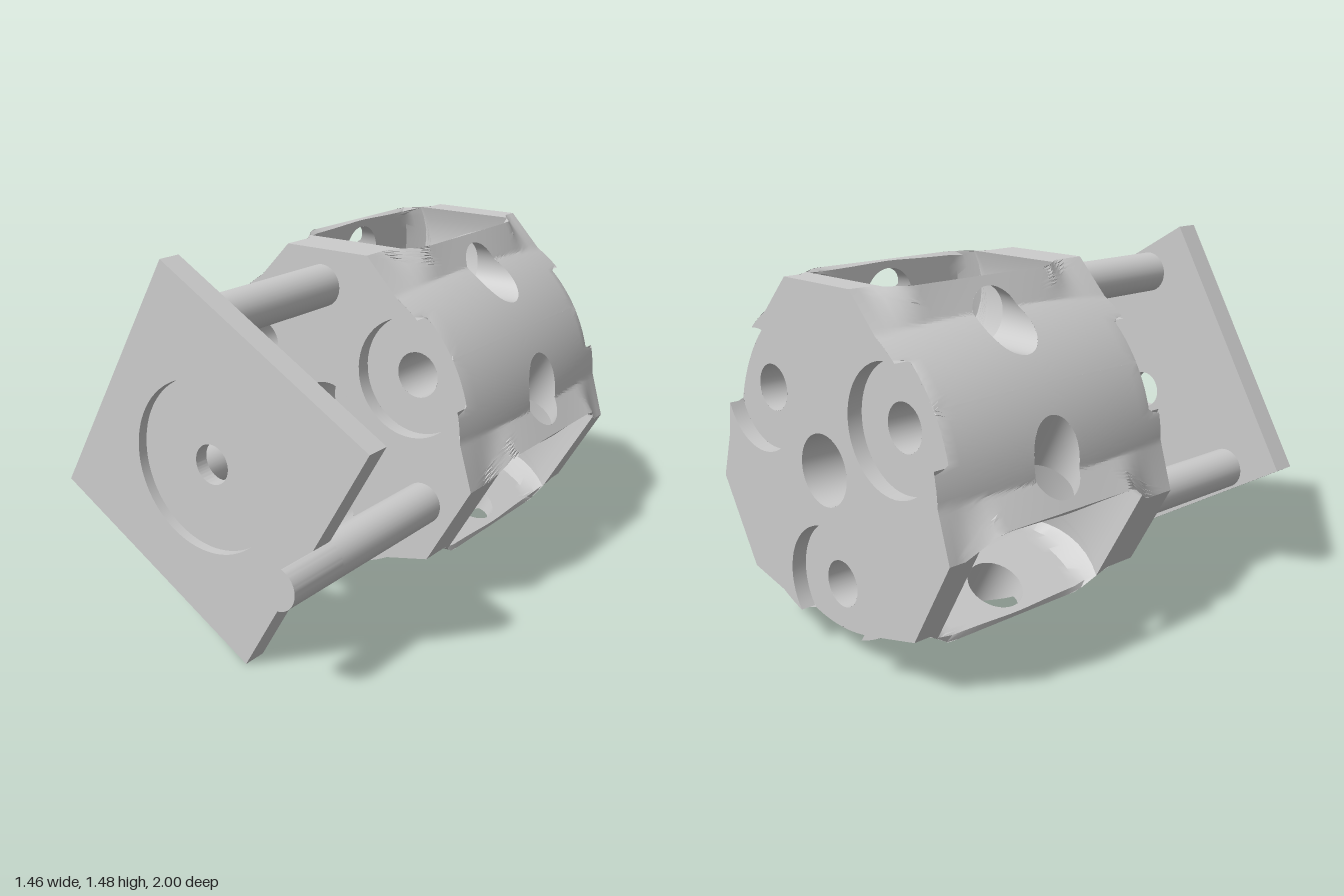
import * as THREE from 'three';
import { toCreasedNormals } from 'three/addons/utils/BufferGeometryUtils.js';

const TAU = Math.PI * 2;
const CY = 0.745;             // height of the main axis
const ZC = -0.48;             // middle of the wheel pockets along z
const BACK = -1, FRONT = 0.11;
const D = 0.53;               // distance of rods and axles from the axis
const POCKET_R = 0.43, AXLE_R = 0.11, ROD_R = 0.083, CORE_R = 0.135;
const BORE_D = 0.45, BORE_R = 0.09, NOTCH_R = 0.235;
const LID = 0.672;            // height of the flat rim round each pocket
const END_R = 0.655 * 0.95;   // lobe radius at both ends
// Angle where a counterbore breaks through the edge
const NOTCH_A = Math.acos((END_R ** 2 - BORE_D ** 2 - NOTCH_R ** 2) / (2 * BORE_D * NOTCH_R));
const NX = BORE_D * Math.cos(Math.PI / 6), NY = BORE_D * Math.sin(Math.PI / 6);

const mat = new THREE.MeshStandardMaterial({ color: 0xcccccc, side: THREE.DoubleSide });

function mesh(name, geo, parent) {
  const m = new THREE.Mesh(geo, mat);
  m.name = name;
  parent.add(m);
  return m;
}

// Grid surface: fn(u, v) returns [x, y, z]; keep() can drop triangles
function surface(nu, nv, fn, keep) {
  const pos = [], idx = [];
  for (let j = 0; j <= nv; j++)
    for (let i = 0; i <= nu; i++) pos.push(...fn(i / nu, j / nv));
  const mid = (t, k) => (pos[t[0] * 3 + k] + pos[t[1] * 3 + k] + pos[t[2] * 3 + k]) / 3;
  for (let j = 0; j < nv; j++)
    for (let i = 0; i < nu; i++) {
      const a = j * (nu + 1) + i, b = a + 1, c = a + nu + 1, d = c + 1;
      for (const t of [[a, b, d], [a, d, c]])
        if (!keep || keep(mid(t, 0), mid(t, 1), mid(t, 2))) idx.push(...t);
    }
  const g = new THREE.BufferGeometry();
  g.setAttribute('position', new THREE.Float32BufferAttribute(pos, 3));
  g.setIndex(idx);
  return toCreasedNormals(g, 0.5);
}

const mix = (a, b, t) => a + (b - a) * t;

// Point on the outline of the square from -1 to 1, t from 0 to 1
function square(t) {
  const s = Math.min(3, Math.floor(t * 4)), f = (t * 4 - s) * 2 - 1;
  return [[1, f], [-f, 1], [-1, -f], [f, -1]][s];
}

// Barrel taper, half width of the eight-sided rim, and half width of a pocket
const taper = z => 1 - 0.05 * ((z + 0.445) / 0.555) ** 2;
const rim = z => mix(0.28, 0.19, Math.max(0, Math.min(1, (Math.abs(z - ZC) - 0.33) / 0.12)));
const halfWidth = (d, z) => Math.min(0.26, 0.17 + 0.28 * d, rim(z));
const floorAt = z => D - Math.sqrt(Math.max(0, POCKET_R ** 2 - (z - ZC) ** 2));

// Outer profile of half a lobe: round, then rising to the rim
function section(y, z) {
  const s = taper(z);
  if (y < 0.56) return [Math.sqrt(0.429 - y * y) * s, y * s];
  const t = (y - 0.56) / 0.115;
  return [mix(0.34 * s, rim(z), t), mix(0.56 * s, LID, t)];
}

function skin(y, z) {
  const [x, yy] = section(y, z);
  if (Math.hypot(x - NX, yy - NY) < NOTCH_R + 0.002) z = Math.max(BACK + 0.06, Math.min(FRONT - 0.06, z));
  return [x, yy, z];
}

// Edge of a counterbore, u from 0 to 1
function notch(u) {
  const a = Math.PI / 6 + mix(NOTCH_A, TAU - NOTCH_A, u);
  return [NX + NOTCH_R * Math.cos(a), NY + NOTCH_R * Math.sin(a)];
}

function halfLobe() {
  const g = new THREE.Group();
  g.name = 'halfLobe';
  mesh('lobeSkin', surface(144, 12, (u, v) => {
    const [p, q] = square(u);
    const y = mix(0.3275, 0.675, (p + 1) / 2), z = mix(BACK, FRONT, (q + 1) / 2);
    const a = Math.atan2(z - ZC, y - D);
    return skin(mix(D + AXLE_R * Math.cos(a), y, v), mix(ZC + AXLE_R * Math.sin(a), z, v));
  }), g);
  mesh('pocketWall', surface(96, 8, (u, v) => {
    const a = u * TAU, c = Math.cos(a), s = Math.sin(a);
    const limit = s > 0 ? (LID - D) / s : 9;
    const r = mix(AXLE_R, Math.min(POCKET_R, limit), v);
    const z = ZC + r * c, y = D + r * s;
    return [limit < POCKET_R && v === 1 ? rim(z) : halfWidth(y, z), y, z];
  }), g);
  mesh('axleHole', surface(48, 1, (u, v) => {
    const y = D + AXLE_R * Math.cos(u * TAU), z = ZC + AXLE_R * Math.sin(u * TAU);
    const o = skin(y, z);
    return [mix(halfWidth(y, z), o[0], v), mix(y, o[1], v), z];
  }), g);
  return g;
}

// One wheel pocket with the half lobes on both sides of it
function pocketSector() {
  const g = new THREE.Group();
  g.name = 'pocketSector';
  const right = halfLobe(), left = halfLobe();
  left.scale.x = -1;
  g.add(right, left);
  mesh('pocketFloor', surface(128, 12, (u, v) => {
    const [p, q] = square(u), a = Math.atan2(q, p);
    const phi = mix(0.21 * Math.sin(a), q, v) * 1.907;
    const y = D - POCKET_R * Math.cos(phi), z = ZC + POCKET_R * Math.sin(phi);
    return [mix(0.45 * Math.cos(a), p, v) * halfWidth(y, z), y, z];
  }), g);
  for (const [z0, z1] of [[BACK, ZC - 0.405], [ZC + 0.405, FRONT]])
    mesh('pocketRim', surface(1, 10, (u, v) => {
      const z = mix(z0, z1, v);
      return [(u * 2 - 1) * rim(z), LID, z];
    }), g);
  // Bore along the lobe
  const bore = mesh('lobeBore', new THREE.CylinderGeometry(BORE_R, BORE_R, FRONT - BACK - 0.12, 32, 1, true), g);
  bore.rotation.x = Math.PI / 2;
  bore.position.set(NX, NY, (FRONT + BACK) / 2);
  // Open counterbores at both ends
  for (const [z0, z1] of [[FRONT, FRONT - 0.06], [BACK, BACK + 0.06]]) {
    mesh('counterboreWall', surface(40, 1, (u, v) => [...notch(u), mix(z0, z1, v)]), g);
    mesh('counterboreFloor', surface(64, 1, (u, v) => {
      const a = u * TAU, edge = -BORE_D * Math.cos(a) + Math.sqrt(END_R ** 2 - (BORE_D * Math.sin(a)) ** 2);
      const r = mix(BORE_R, Math.min(NOTCH_R, edge), v), b = a + Math.PI / 6;
      return [NX + r * Math.cos(b), NY + r * Math.sin(b), z1];
    }), g);
  }
  return g;
}

// Flat end of the body with three notches and the central hole
function endShape() {
  const pts = [];
  const half = [0.675, 0.56, 0.53, 0.5].map(y => section(y, FRONT));
  for (let k = 0; k < 3; k++) {
    const local = [...[...half].reverse().map(([x, y]) => [-x, y]), ...half];
    for (let i = 0; i <= 40; i++) local.push(notch(i / 40));
    for (const [x, y] of local) pts.push(new THREE.Vector2(x, y).rotateAround(new THREE.Vector2(), -k * TAU / 3));
  }
  const s = new THREE.Shape(pts);
  s.holes.push(new THREE.Path().absarc(0, 0, CORE_R, 0, TAU, true));
  return s;
}

function rod(x, y, z0, z1, r, name, parent) {
  const m = mesh(name, new THREE.CylinderGeometry(r, r, z1 - z0, 32), parent);
  m.rotation.x = Math.PI / 2;
  m.position.set(x, y, (z0 + z1) / 2);
}

export function createModel() {
  const root = new THREE.Group();
  root.name = 'wheelHousing';
  const body = new THREE.Group();
  body.name = 'body';
  body.position.y = CY;
  root.add(body);

  for (let k = 0; k < 3; k++) {
    const s = pocketSector();
    s.rotation.z = -k * TAU / 3;
    body.add(s);
  }
  // Rods carrying the plate
  for (const [x, y] of [[-0.022, 0.528], [0.46, -0.267], [-0.47, -0.267]])
    rod(x, y, -0.03, 0.74, ROD_R, 'rod', body);

  const cap = new THREE.ShapeGeometry(endShape(), 48);
  mesh('frontFace', cap, body).position.z = FRONT;
  const back = mesh('backFace', cap, body);
  back.position.z = BACK;
  back.scale.z = -1;

  // Central bore, open where the pockets cut into it
  mesh('centralBore', surface(72, 60, (u, v) =>
    [CORE_R * Math.cos(u * TAU), CORE_R * Math.sin(u * TAU), mix(BACK, FRONT, v)],
  (x, y, z) => Math.abs(z - ZC) > 0.2 || [0, 1, 2].every(k => {
    const a = Math.PI / 2 - k * TAU / 3;
    return x * Math.cos(a) + y * Math.sin(a) < floorAt(z);
  })), body);
  rod(0, 0, -0.18, -0.12, CORE_R, 'boreWeb', body);

  // Tilted square plate with a round recess and a centre hole
  const plate = new THREE.Group();
  plate.name = 'plate';
  plate.position.set(-0.009, 0.742, 0);
  plate.rotation.z = -Math.PI / 6;
  root.add(plate);
  for (const [z, depth, r] of [[0.73, 0.055, 0.077], [0.785, 0.04, 0.33]]) {
    const s = new THREE.Shape([[-1, -1], [1, -1], [1, 1], [-1, 1]].map(([x, y]) => new THREE.Vector2(x * 0.52, y * 0.553)));
    s.holes.push(new THREE.Path().absarc(0, 0, r, 0, TAU, true));
    const geo = new THREE.ExtrudeGeometry(s, { depth, bevelEnabled: false, curveSegments: 48 });
    mesh('plateLayer', toCreasedNormals(geo, 0.5), plate).position.z = z;
  }

  // Cut rod end passing flush beside the plate
  const half = new THREE.Shape().absarc(0, 0, ROD_R, -Math.PI / 6 - 1.777, -Math.PI / 6 + 1.777, false);
  const end = new THREE.ExtrudeGeometry(half, { depth: 0.27, bevelEnabled: false, curveSegments: 20 });
  mesh('rodEnd', toCreasedNormals(end, 0.5), root).position.set(0.46, 0.478, 0.73);
  return root;
}
